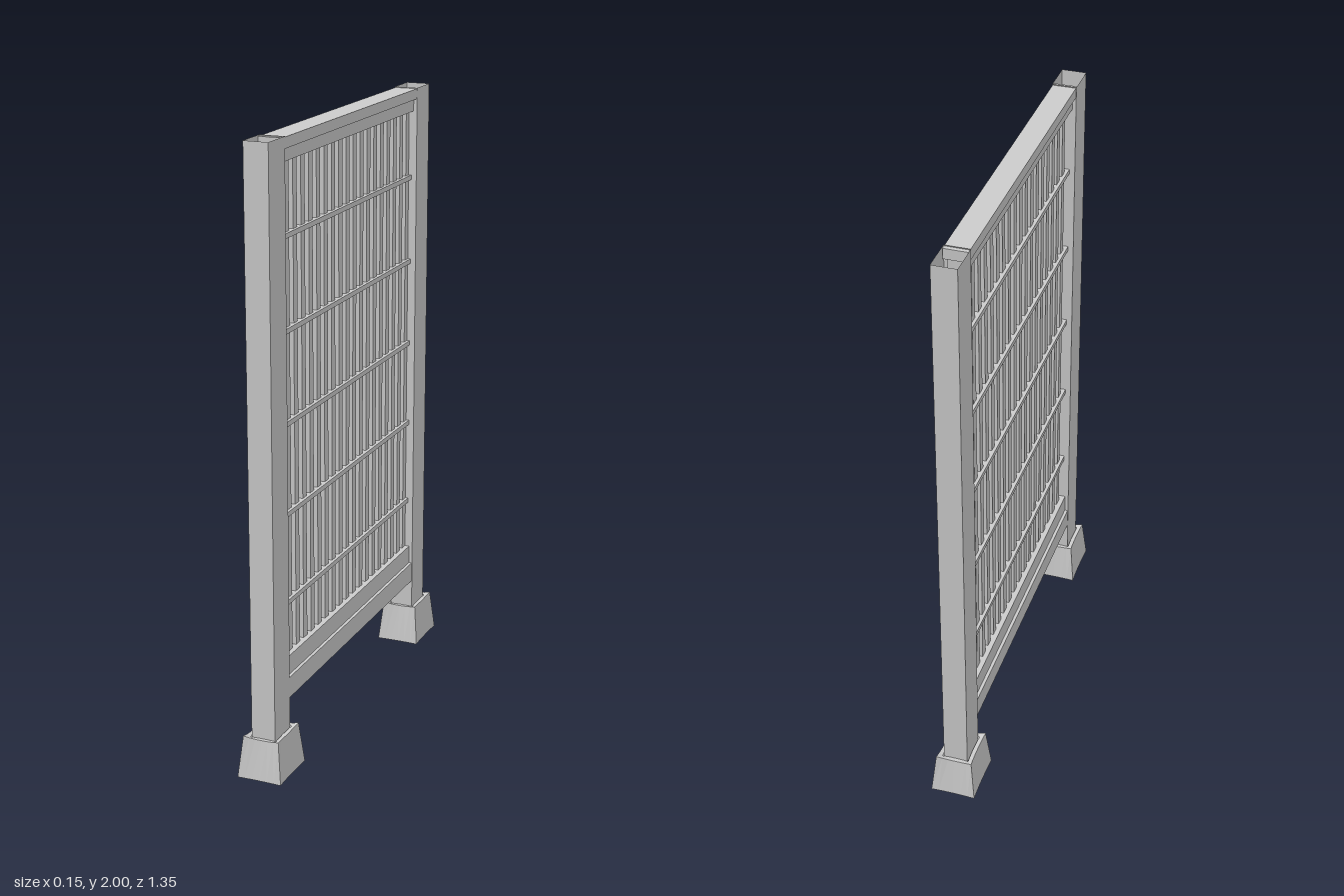
import * as THREE from 'three';

const solid = new THREE.MeshStandardMaterial({ color: 0xcccccc, flatShading: true });
const sheet = new THREE.MeshStandardMaterial({ color: 0xcccccc, flatShading: true, side: THREE.DoubleSide });

// Rectangular ring at height y; each side bows inward by dip and sags by sag
function ring({ hx, hz, y, dip = 0, sag = 0 }, n = 6) {
  const corners = [[hx, hz], [hx, -hz], [-hx, -hz], [-hx, hz]];
  const inward = [[-1, 0], [0, 1], [1, 0], [0, -1]];
  const pts = [];
  corners.forEach(([x, z], i) => {
    const [x2, z2] = corners[(i + 1) % 4];
    for (let k = 0; k < n; k++) {
      const t = k / n, b = 4 * t * (1 - t);
      pts.push([x + (x2 - x) * t + inward[i][0] * dip * b, y - sag * b, z + (z2 - z) * t + inward[i][1] * dip * b]);
    }
  });
  return pts;
}

// Skin between rows of points with equal counts
function skin(rows, closed) {
  const n = rows[0].length, index = [];
  for (let r = 0; r < rows.length - 1; r++) {
    for (let i = 0; i < (closed ? n : n - 1); i++) {
      const a = r * n + i, b = r * n + (i + 1) % n;
      index.push(a, b, b + n, a, b + n, a + n);
    }
  }
  const g = new THREE.BufferGeometry();
  g.setAttribute('position', new THREE.Float32BufferAttribute(rows.flat(2), 3));
  g.setIndex(index);
  const flat = g.toNonIndexed();
  flat.computeVertexNormals();
  return flat;
}

function add(parent, name, geometry, material, y = 0, z = 0) {
  const mesh = new THREE.Mesh(geometry, material);
  mesh.name = name;
  mesh.position.set(0, y, z);
  parent.add(mesh);
}

export function createModel() {
  const model = new THREE.Group();
  model.name = 'fencePanel';

  // Hollow posts in flared, open feet with a dished rim
  const post = skin([{ hx: 0.04, hz: 0.056, y: 0.12 }, { hx: 0.04, hz: 0.056, y: 2 }].map((r) => ring(r, 1)), true);
  const foot = skin([
    { hx: 0.074, hz: 0.092, y: 0, dip: 0.002 },
    { hx: 0.06, hz: 0.076, y: 0.137, dip: 0.004, sag: 0.006 },
    { hx: 0.044, hz: 0.059, y: 0.13, dip: 0.002 },
  ].map((r) => ring(r)), true);
  for (const [side, z] of [['front', 0.582], ['back', -0.582]]) {
    add(model, side + 'Post', post, sheet, 0, z);
    add(model, side + 'Foot', foot, sheet, 0, z);
  }

  // Beams run into the posts; narrower strips hold the infill
  const bar = (name, y0, y1, width, length) =>
    add(model, name, new THREE.BoxGeometry(width, y1 - y0, length), solid, (y0 + y1) / 2);
  bar('topBeam', 1.963, 1.997, 0.077, 1.08);
  bar('topStrip', 1.922, 1.963, 0.056, 1.06);
  bar('bottomStrip', 0.297, 0.36, 0.056, 1.06);
  bar('bottomBeam', 0.228, 0.297, 0.077, 1.08);

  // Ribbed infill sheet, stepping between two depths
  const ribs = 37, length = 1.056, depth = 0.012;
  const profile = [];
  for (let i = 0; i < ribs; i++) {
    const x = i % 2 ? -depth : depth;
    profile.push([x, -length / 2 + (length * i) / ribs], [x, -length / 2 + (length * (i + 1)) / ribs]);
  }
  add(model, 'ribbedInfill', skin([0.35, 1.93].map((y) => profile.map(([x, z]) => [x, y, z])), false), sheet);

  // Horizontal rails across the infill
  for (let i = 0; i < 5; i++) {
    const y = 0.535 + i * 0.2905;
    bar('rail' + (i + 1), y - 0.008, y + 0.008, 0.044, 1.06);
  }
  return model;
}
